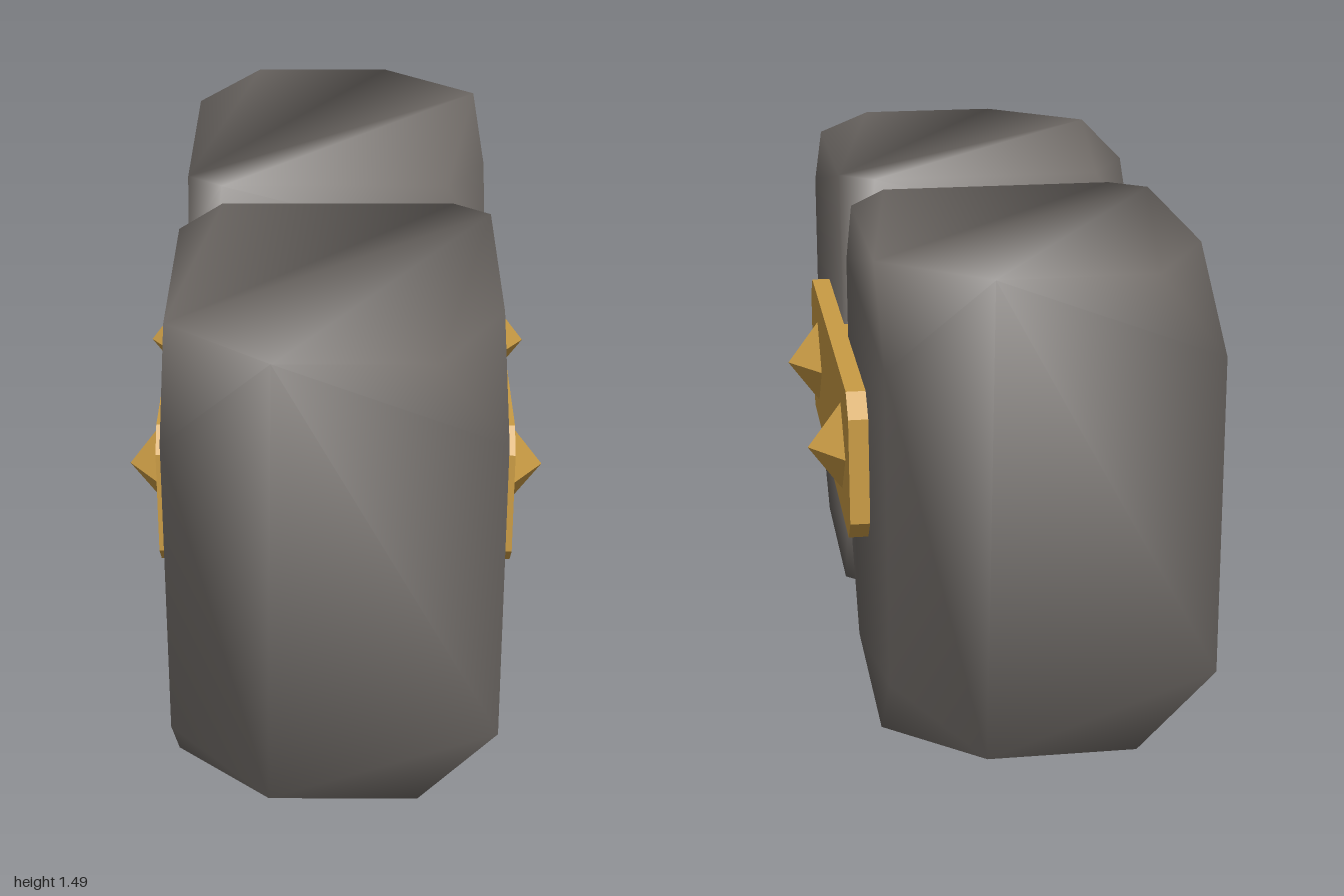
import * as THREE from 'three';
import { mergeVertices } from 'three/addons/utils/BufferGeometryUtils.js';
import { ConvexGeometry } from 'three/addons/geometries/ConvexGeometry.js';

const stone = new THREE.MeshStandardMaterial({ color: 0x6f6a66 });
stone.name = 'stone grey';
const brass = new THREE.MeshStandardMaterial({ color: 0xc99b44 });
brass.name = 'brass';

function add(parent, name, geometry, material, x = 0, y = 0, z = 0) {
  const mesh = new THREE.Mesh(geometry, material);
  mesh.name = name;
  mesh.position.set(x, y, z);
  parent.add(mesh);
  return mesh;
}

// Box with each corner cut off by its own amount along x, y and z, shaded smooth
function stoneBlock() {
  const min = [-0.39, 0.32, 0.06], max = [0.39, 1.49, 1];
  // side x, side y, side z, then cut lengths
  const corners = [
    [-1, 1, 1, 0.25, 0.2, 0.21], [1, 1, 1, 0.16, 0.2, 0.28],
    [-1, -1, 1, 0.23, 0.21, 0.21], [1, -1, 1, 0.19, 0.19, 0.26],
    [-1, 1, -1, 0.1, 0.18, 0.17], [1, 1, -1, 0.09, 0.16, 0.07],
    [-1, -1, -1, 0.14, 0.2, 0.16], [1, -1, -1, 0.13, 0.22, 0.125],
  ];
  const points = [];
  for (const c of corners) {
    for (let axis = 0; axis < 3; axis++) {
      const p = [0, 1, 2].map((i) => (c[i] > 0 ? max[i] : min[i]));
      p[axis] -= c[axis] * c[axis + 3];
      points.push(new THREE.Vector3(...p));
    }
  }
  let geometry = new ConvexGeometry(points);
  geometry.deleteAttribute('normal');
  geometry = mergeVertices(geometry, 1e-4);
  geometry.computeVertexNormals();
  return geometry;
}

// Flat plate with cut corners, standing in the xy plane and centred
function cutPlate(halfW, halfH, cutW, cutH, depth) {
  const shape = new THREE.Shape([
    [halfW, -halfH + cutH], [halfW, halfH - cutH], [halfW - cutW, halfH], [-halfW + cutW, halfH],
    [-halfW, halfH - cutH], [-halfW, -halfH + cutH], [-halfW + cutW, -halfH], [halfW - cutW, -halfH],
  ].map(([x, y]) => new THREE.Vector2(x, y)));
  return new THREE.ExtrudeGeometry(shape, { depth, bevelEnabled: false }).translate(0, 0, -depth / 2);
}

// Four-sided pointed stud, base at the origin, pointing up
function studGeometry(radius, height) {
  const g = new THREE.ConeGeometry(radius, height, 4, 1).toNonIndexed();
  g.computeVertexNormals();
  return g.translate(0, height / 2, 0);
}

export function createModel() {
  const model = new THREE.Group();
  model.name = 'hammerHead';

  // Two stone blocks, the rear one turned half round
  const block = stoneBlock();
  add(model, 'frontBlock', block, stone);
  add(model, 'backBlock', block, stone).rotation.y = Math.PI;

  // Core between the blocks
  add(model, 'crossBeam', new THREE.BoxGeometry(0.8, 0.38, 0.12), brass, 0, 0.91, 0);
  add(model, 'corePost', new THREE.BoxGeometry(0.26, 0.5, 0.12), brass, 0, 0.51, 0);

  // Side plates with studs
  const sidePlate = cutPlate(0.59, 0.19, 0.055, 0.055, 0.05);
  const sideStud = studGeometry(0.115, 0.085);
  for (const s of [-1, 1]) {
    const side = new THREE.Group();
    side.name = s > 0 ? 'leftStrap' : 'rightStrap';
    add(side, 'sidePlate', sidePlate, brass, s * 0.414, 0.91, 0).rotation.y = Math.PI / 2;
    for (const z of [-0.37, 0.37]) {
      add(side, 'sideStud', sideStud, brass, s * 0.439, 0.905, z).rotation.z = -s * Math.PI / 2;
    }
    model.add(side);
  }

  // Base plate with studs pointing down
  const basePlate = cutPlate(0.18, 0.59, 0.05, 0.16, 0.055);
  add(model, 'basePlate', basePlate, brass, 0, 0.295, 0).rotation.x = Math.PI / 2;
  const baseStud = studGeometry(0.105, 0.09);
  for (const z of [-0.37, 0.37]) {
    add(model, 'baseStud', baseStud, brass, 0, 0.268, z).rotation.x = Math.PI;
  }

  // Six-sided socket and shaft end
  add(model, 'socket', new THREE.CylinderGeometry(0.168, 0.152, 0.2, 6), brass, 0, 0.18, 0);
  add(model, 'shaftEnd', new THREE.CylinderGeometry(0.122, 0.113, 0.09, 6), brass, 0, 0.045, 0);

  return model;
}
